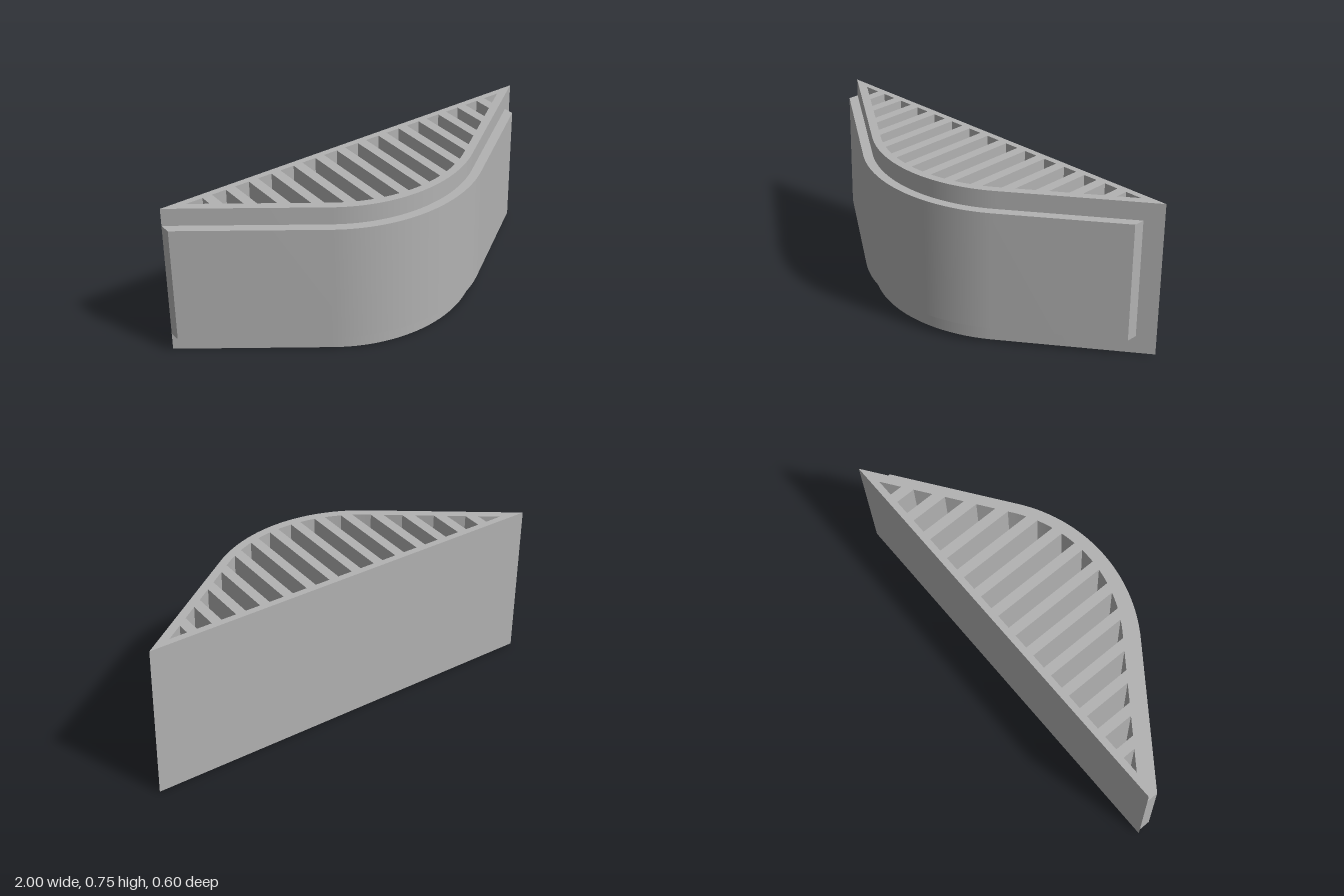
import * as THREE from 'three';
import { toCreasedNormals } from 'three/addons/utils/BufferGeometryUtils.js';

const BACK = -0.302, APEX = 0.257;      // depth range of the ribbed body
const HEIGHT = 0.755;
const ANGLE = 0.6225;                   // slope of the straight flanks
const RADIUS = 0.4 / Math.sin(ANGLE);   // rounded nose, tangent to the flanks
const ARC_Z = APEX - RADIUS;

// Depth of the bow-shaped front at x, offset outward by d
function frontZ(x, d = 0) {
  const r = RADIUS + d, tx = r * Math.sin(ANGLE), ax = Math.abs(x);
  if (ax < tx) return ARC_Z + Math.sqrt(r * r - x * x);
  return ARC_Z + r * Math.cos(ANGLE) - (ax - tx) * Math.tan(ANGLE);
}

// Points along the front from x0 to x1, dense only on the rounded part
function frontLine(x0, x1, d, steps = 40) {
  const r = RADIUS + d, xs = [x0];
  for (let i = 0; i <= steps; i++) {
    const x = r * Math.sin(ANGLE * (2 * i / steps - 1));
    if (x > x0 + 1e-4 && x < x1 - 1e-4) xs.push(x);
  }
  xs.push(x1);
  return xs.map(x => new THREE.Vector2(x, -frontZ(x, d)));
}

// Extrude a plan outline (x, -z) upward from y0
function extrudeUp(shape, y0, height, material, name) {
  const geo = new THREE.ExtrudeGeometry(shape, { depth: height, bevelEnabled: false });
  geo.rotateX(-Math.PI / 2);
  geo.translate(0, y0, 0);
  const mesh = new THREE.Mesh(toCreasedNormals(geo, 0.3), material);
  mesh.name = name;
  return mesh;
}

export function createModel() {
  const group = new THREE.Group();
  group.name = 'bowFrontPanel';
  const grey = new THREE.MeshStandardMaterial({ color: 0xb2b2b2 });
  grey.name = 'grey';

  // Body: flat back, bowed front, open slots between the ribs
  const body = new THREE.Shape(frontLine(-1, 1, 0));
  const WALL = 0.04, SLOT_BACK = BACK + 0.031, PITCH = 0.12, HALF = 0.036;
  const flank = frontZ(0.8, -WALL);
  const tip = 0.8 + (flank - SLOT_BACK) / Math.tan(ANGLE);  // where the wall meets the back
  for (let k = -7; k <= 7; k++) {
    const x0 = k === -7 ? -tip : k * PITCH - HALF;
    const x1 = k === 7 ? tip : k * PITCH + HALF;
    const pts = frontLine(x0, x1, -WALL);
    if (k !== 7) pts.push(new THREE.Vector2(x1, -SLOT_BACK));
    if (k !== -7) pts.push(new THREE.Vector2(x0, -SLOT_BACK));
    body.holes.push(new THREE.Path(pts));
  }
  group.add(extrudeUp(body, 0, HEIGHT, grey, 'ribbedBody'));

  // Raised facing that follows the front, flush left and short on the right
  const facing = new THREE.Shape([
    ...frontLine(-1, 0.925, 0.045),
    ...frontLine(-1, 0.925, 0).reverse(),
  ]);
  group.add(extrudeUp(facing, 0.087, 0.581, grey, 'frontFacing'));

  return group;
}
